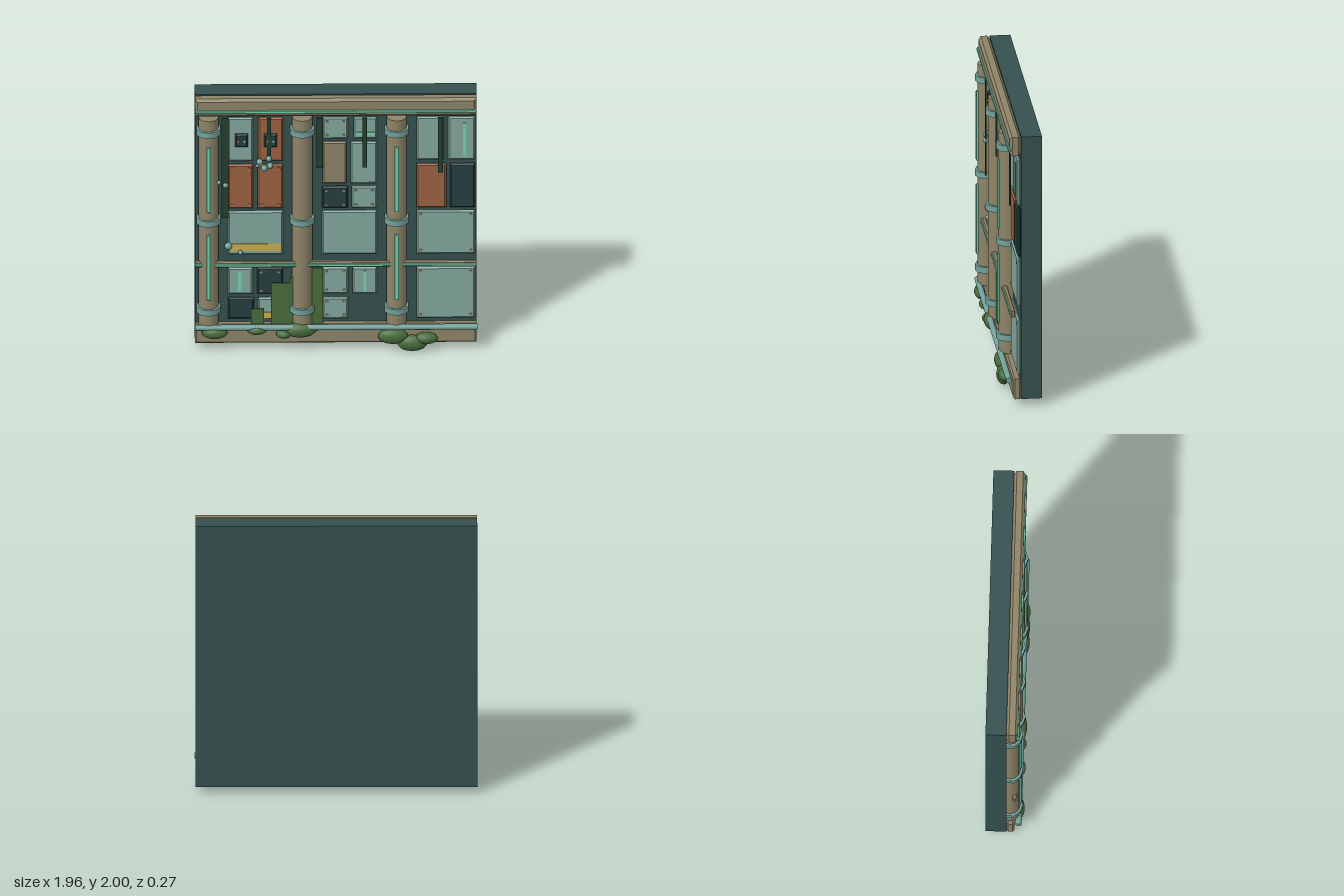
import * as THREE from 'three';

const mat = (name, color, double = false) => {
  const m = new THREE.MeshStandardMaterial({ color });
  m.name = name;
  if (double) m.side = THREE.DoubleSide;
  return m;
};

export function createModel() {
  const wall = mat('wallSlate', 0x34514f), dark = mat('darkSteel', 0x263f42);
  const teal = mat('paleTeal', 0x82a89d), tan = mat('stoneTan', 0x8e8468);
  const rust = mat('rustOrange', 0x9c6240), mint = mat('mintLight', 0x74d2ae);
  const yellow = mat('hazardYellow', 0xc8b052), moss = mat('mossGreen', 0x486c3c);
  const vine = mat('vineGreen', 0x223f2f), pipe = mat('pipeTeal', 0x74a39d);
  const root = new THREE.Group();
  root.name = 'wallSection';

  const add = (name, geo, m, x = 0, y = 0, z = 0) => {
    const mesh = new THREE.Mesh(geo, m);
    mesh.name = name;
    mesh.position.set(x, y, z);
    root.add(mesh);
    return mesh;
  };

  // plain box given by its limits
  const box = (name, m, x0, x1, y0, y1, z0, z1) =>
    add(name, new THREE.BoxGeometry(x1 - x0, y1 - y0, z1 - z0), m, (x0 + x1) / 2, (y0 + y1) / 2, (z0 + z1) / 2);

  // box with chamfered edges given by its limits
  const chamferBox = (name, m, x0, x1, y0, y1, z0, z1, b) => {
    const w = (x1 - x0) / 2 - b, h = (y1 - y0) / 2 - b;
    const s = new THREE.Shape([[-w, -h], [w, -h], [w, h], [-w, h]].map(p => new THREE.Vector2(...p)));
    const geo = new THREE.ExtrudeGeometry(s, {
      depth: z1 - z0 - 2 * b, bevelEnabled: true, bevelThickness: b, bevelSize: b, bevelSegments: 1,
    });
    return add(name, geo, m, (x0 + x1) / 2, (y0 + y1) / 2, z0 + b);
  };

  // backing wall, top beam and plinth
  box('backWall', wall, -0.98, 0.975, 0.05, 2, -0.135, 0.01);
  chamferBox('topBeam', tan, -0.98, 0.975, 1.86, 2, 0.01, 0.09, 0.018);
  chamferBox('topBeamLight', mint, -0.98, 0.975, 1.893, 1.917, 0.08, 0.101, 0.005);
  chamferBox('plinth', tan, -0.98, 0.975, 0.05, 0.2, 0.01, 0.065, 0.012);

  // cross rail with light strip
  chamferBox('crossRail', tan, -0.98, 0.975, 0.66, 0.706, 0.05, 0.083, 0.008);
  chamferBox('crossRailLight', mint, -0.98, 0.975, 0.673, 0.693, 0.075, 0.09, 0.004);

  // low pipe
  add('lowPipe', new THREE.CylinderGeometry(0.021, 0.021, 1.96, 10), pipe, 0, 0.193, 0.095).rotation.z = Math.PI / 2;

  // columns with collars and light strips
  for (const [x, lit] of [[-0.885, true], [-0.235, false], [0.42, true]]) {
    add('column', new THREE.CylinderGeometry(0.07, 0.07, 1.635, 12), tan, x, 1.0175, 0.035);
    for (const y of [1.73, 1.025, 0.32])
      add('collar', new THREE.CylinderGeometry(0.088, 0.088, 0.045, 10), pipe, x, y, 0.035);
    if (lit) for (const y of [1.372, 0.677])
      chamferBox('columnLight', mint, x - 0.015, x + 0.015, y - 0.257, y + 0.257, 0.095, 0.116, 0.004);
  }

  // rivets in the corners of a panel
  const rivetGeo = new THREE.CylinderGeometry(0.01, 0.01, 0.008, 8).rotateX(Math.PI / 2);
  const rivets = (x0, x1, y0, y1, z, inset = 0.03) => {
    for (const x of [x0 + inset, x1 - inset]) for (const y of [y0 + inset, y1 - inset])
      add('rivet', rivetGeo, tan, x, y, z + 0.002);
  };

  // wall panels: x0, x1, y0, y1, colour, riveted
  const Z = 0.036;
  const panels = [
    [-0.75, -0.575, 1.48, 1.825, teal], [-0.54, -0.367, 1.48, 1.825, rust],
    [-0.75, -0.575, 1.105, 1.453, rust, 1], [-0.545, -0.367, 1.105, 1.453, rust, 1],
    [-0.75, -0.367, 0.738, 1.083, teal], [-0.75, -0.578, 0.425, 0.632, teal],
    [-0.55, -0.367, 0.425, 0.632, dark, 1], [-0.75, -0.568, 0.228, 0.395, dark],
    [-0.542, -0.367, 0.228, 0.395, teal],
    [-0.093, 0.083, 1.655, 1.825, teal, 1], [0.12, 0.283, 1.655, 1.825, teal],
    [-0.093, 0.073, 1.3, 1.63, tan], [0.1, 0.283, 1.3, 1.63, teal],
    [-0.097, 0.083, 1.105, 1.275, dark, 1], [0.108, 0.283, 1.105, 1.275, teal, 1],
    [-0.097, 0.283, 0.738, 1.083, teal], [-0.093, 0.083, 0.425, 0.632, teal, 1],
    [0.113, 0.283, 0.425, 0.632, teal], [-0.093, 0.083, 0.228, 0.395, teal, 1],
    [0.558, 0.748, 1.485, 1.825, teal], [0.778, 0.965, 1.485, 1.825, teal],
    [0.558, 0.765, 1.105, 1.453, rust], [0.79, 0.965, 1.105, 1.453, dark],
    [0.558, 0.965, 0.738, 1.083, teal, 1], [0.558, 0.965, 0.228, 0.632, teal, 1],
  ];
  for (const [x0, x1, y0, y1, m, riveted] of panels) {
    chamferBox('panel', m, x0, x1, y0, y1, 0.008, Z, 0.011);
    if (riveted) rivets(x0, x1, y0, y1, Z);
  }

  // light strips and hazard stripes on panels
  for (const [x0, x1, y0, y1] of [
    [-0.679, -0.657, 0.445, 0.608], [0.19, 0.209, 0.445, 0.608],
    [0.882, 0.9, 1.523, 1.782], [0.13, 0.273, 1.685, 1.71],
  ]) box('panelLight', mint, x0, x1, y0, y1, Z - 0.002, Z + 0.006);
  box('hazardStripe', yellow, -0.742, -0.382, 0.77, 0.828, Z - 0.002, Z + 0.004);
  box('hazardStripe', yellow, -0.535, -0.375, 0.232, 0.283, Z - 0.002, Z + 0.004);

  // small switch boxes
  for (const x of [-0.657, -0.456]) {
    chamferBox('switchBox', dark, x - 0.045, x + 0.045, 1.602, 1.705, 0.03, 0.06, 0.01);
    for (const s of [-1, 1]) add('switchKnob', rivetGeo, s < 0 ? rust : teal, x + s * 0.021, 1.654, 0.062);
  }

  // hanging vines
  for (const [x0, x1, y0] of [
    [-0.795, -0.748, 1.048], [-0.478, -0.45, 1.54], [-0.135, -0.092, 1.443],
    [0.183, 0.213, 1.443], [0.708, 0.743, 1.4],
  ]) box('hangingVine', vine, x0, x1, y0, 1.837, 0.056, 0.064);

  // moss sheets climbing from the base
  for (const [x0, x1, y1] of [
    [-0.59, -0.5, 0.32], [-0.452, -0.3, 0.527], [-0.32, -0.235, 0.568], [-0.166, -0.092, 0.643],
  ]) box('mossSheet', moss, x0, x1, 0.2, y1, 0.05, 0.058);

  // bushes at the foot: x, y, half width, half height
  const ball = new THREE.SphereGeometry(1, 14, 10);
  for (const [x, y, rx, ry] of [
    [-0.843, 0.15, 0.09, 0.045], [-0.55, 0.172, 0.07, 0.034], [-0.362, 0.14, 0.055, 0.032],
    [-0.25, 0.168, 0.11, 0.055], [0.395, 0.118, 0.105, 0.06], [0.528, 0.062, 0.105, 0.06],
    [0.625, 0.1, 0.08, 0.042],
  ]) add('bush', ball, moss, x, y, 0.087).scale.set(rx, ry, 0.046);

  // pale bulbs: x, y, radius
  for (const [x, y, r] of [
    [-0.53, 1.49, 0.023], [-0.467, 1.515, 0.021], [-0.498, 1.44, 0.023], [-0.458, 1.46, 0.022],
    [-0.547, 1.458, 0.012], [-0.815, 1.327, 0.016], [-0.767, 1.306, 0.02],
    [-0.748, 0.813, 0.026], [-0.664, 0.772, 0.017],
  ]) add('bulb', ball, pipe, x, y, r > 0.025 ? 0.045 : 0.06).scale.setScalar(r);

  return root;
}
